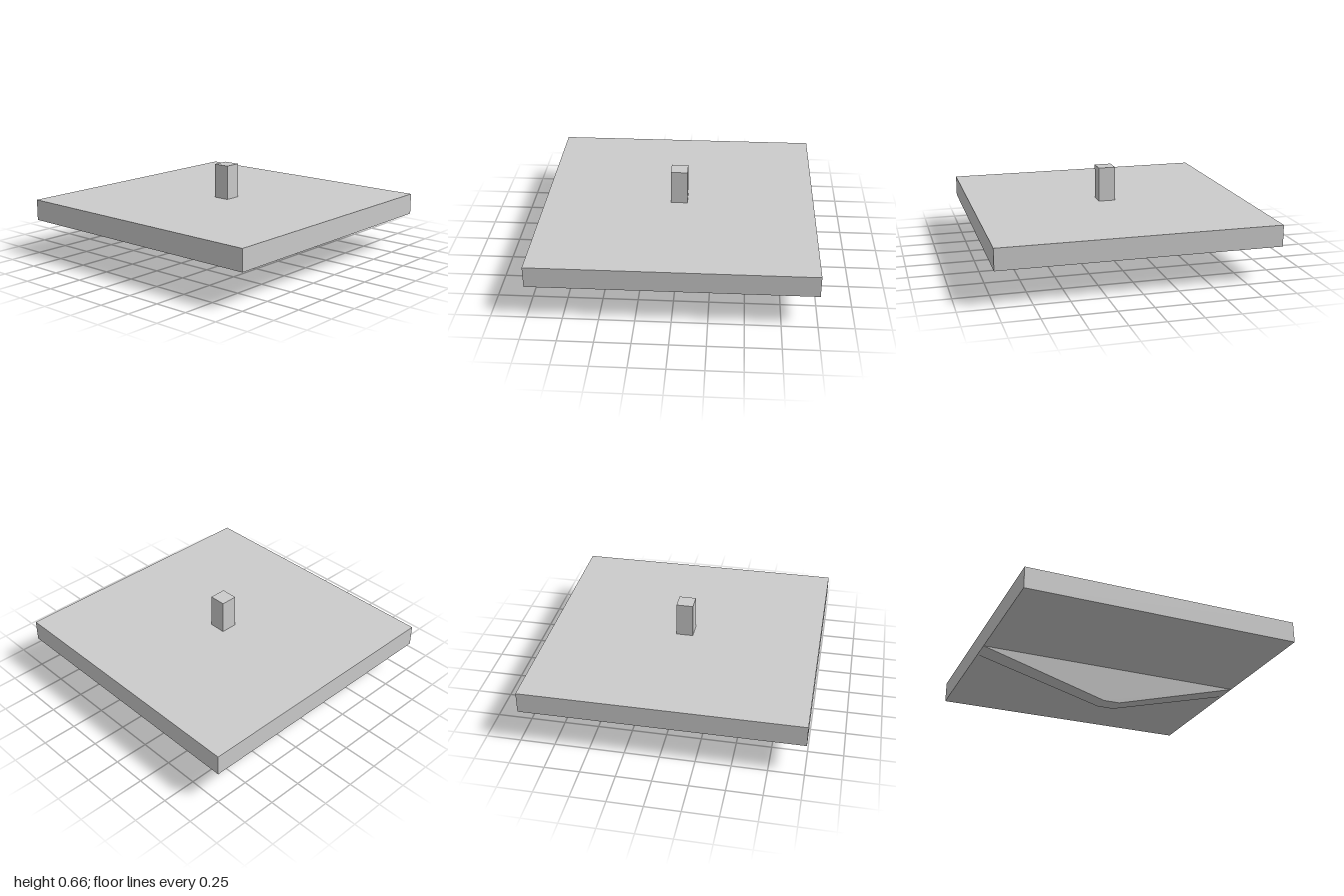
import * as THREE from 'three';

const SLAB_BOTTOM = 0.253, SLAB_TOP = 0.407, POST_TOP = 0.66, HALF = 0.0615;

function addBox(group, name, width, depth, y0, y1, reshape) {
  const geometry = new THREE.BoxGeometry(width, y1 - y0, depth).translate(0, (y0 + y1) / 2, 0);
  if (reshape) {
    reshape(geometry.attributes.position);
    geometry.computeVertexNormals();
  }
  const material = new THREE.MeshStandardMaterial({ color: 0xcccccc, flatShading: true });
  const mesh = new THREE.Mesh(geometry, material);
  mesh.name = name;
  group.add(mesh);
}

export function createModel() {
  const group = new THREE.Group();
  group.name = 'slabOnKeel';

  // Wide square slab
  addBox(group, 'slab', 2, 2, SLAB_BOTTOM, SLAB_TOP);

  // Short square post standing on the slab
  addBox(group, 'post', 2 * HALF, 2 * HALF, SLAB_TOP, POST_TOP);

  // Keel: spreads to the slab's full width at the top; the front leans out, the back is upright
  addBox(group, 'keel', 2 * HALF, 2 * HALF, 0, SLAB_BOTTOM, (pos) => {
    for (let i = 0; i < pos.count; i++) {
      if (pos.getY(i) < SLAB_BOTTOM / 2) continue;
      pos.setX(i, Math.sign(pos.getX(i)));
      if (pos.getZ(i) > 0) pos.setZ(i, 0.095);
    }
  });

  return group;
}
